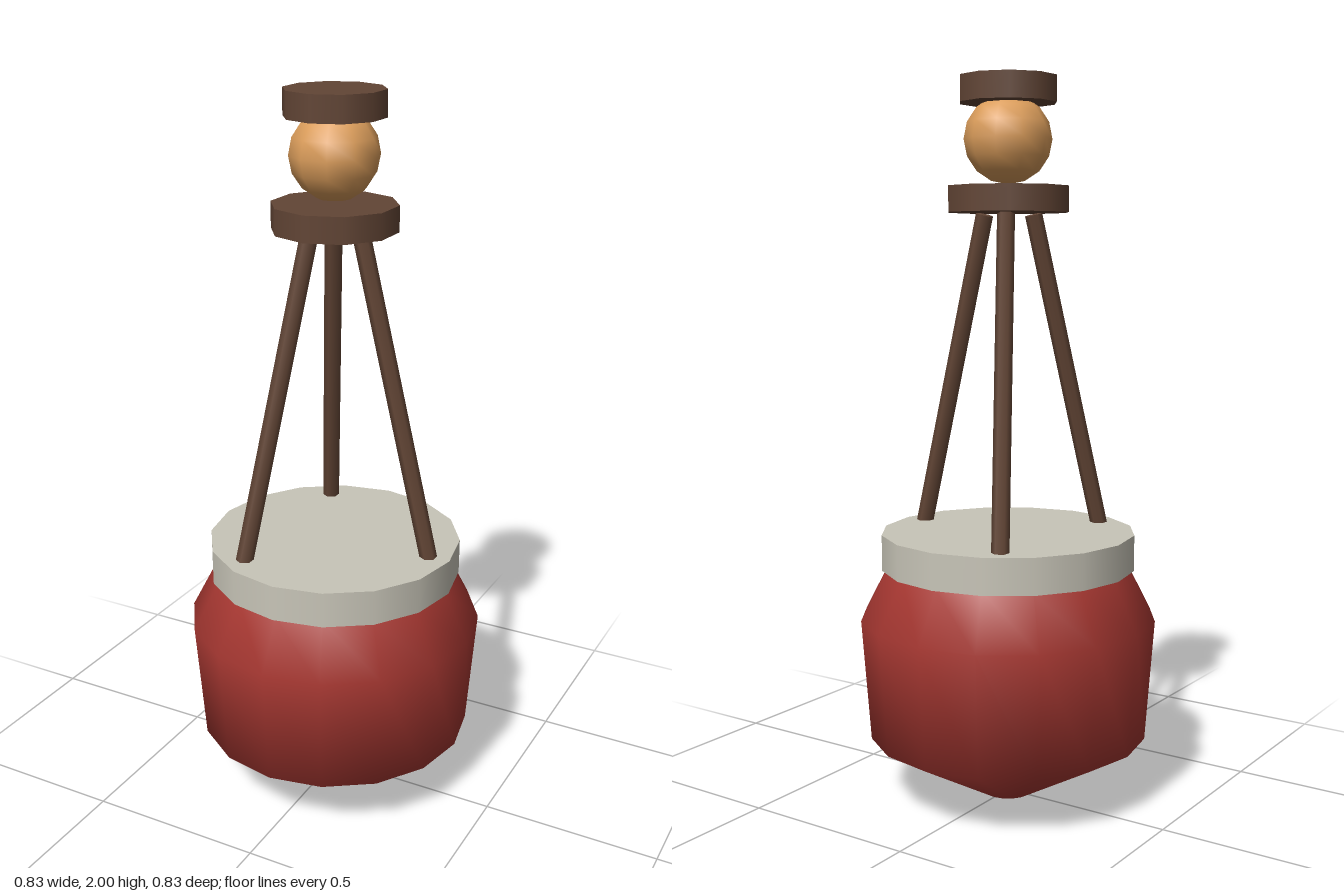
import * as THREE from 'three';

function material(name, color) {
  const m = new THREE.MeshStandardMaterial({ color });
  m.name = name;
  return m;
}

export function createModel() {
  const red = material('red paint', 0xa83832);
  const cream = material('pale grey', 0xc8c5b8);
  const brown = material('dark brown', 0x624535);
  const amber = material('amber', 0xdb9d5b);

  const model = new THREE.Group();
  model.name = 'buoy';

  function add(name, geometry, mat, y = 0) {
    const mesh = new THREE.Mesh(geometry, mat);
    mesh.name = name;
    mesh.position.y = y;
    model.add(mesh);
    return mesh;
  }

  // Float body with a tapered underside
  const profile = [[0.07, 0], [0.39, 0.18], [0.415, 0.52], [0.34, 0.665]]
    .map(([r, y]) => new THREE.Vector2(r, y));
  add('floatBody', new THREE.LatheGeometry(profile, 16), red);
  const base = add('floatBase', new THREE.CircleGeometry(0.07, 16), red);
  base.rotation.x = Math.PI / 2;

  // Deck collar
  add('deckCollar', new THREE.CylinderGeometry(0.355, 0.355, 0.1, 16), cream, 0.71);

  // Three leaning legs
  const top = new THREE.Vector2(0.078, 1.635);
  const foot = new THREE.Vector2(0.295, 0.745);
  const legGeometry = new THREE.CylinderGeometry(0.024, 0.024, top.distanceTo(foot), 6);
  legGeometry.rotateZ(Math.atan2(foot.x - top.x, top.y - foot.y));
  legGeometry.translate((top.x + foot.x) / 2, (top.y + foot.y) / 2, 0);
  for (let i = 0; i < 3; i++) {
    add('leg' + (i + 1), legGeometry, brown).rotation.y = i * Math.PI * 2 / 3;
  }

  // Platform, lamp and cap
  add('lampPlatform', new THREE.CylinderGeometry(0.17, 0.17, 0.07, 10), brown, 1.675);
  add('lamp', new THREE.SphereGeometry(0.12, 10, 8), amber, 1.835);
  add('lampCap', new THREE.CylinderGeometry(0.135, 0.135, 0.07, 10), brown, 1.965);

  return model;
}
